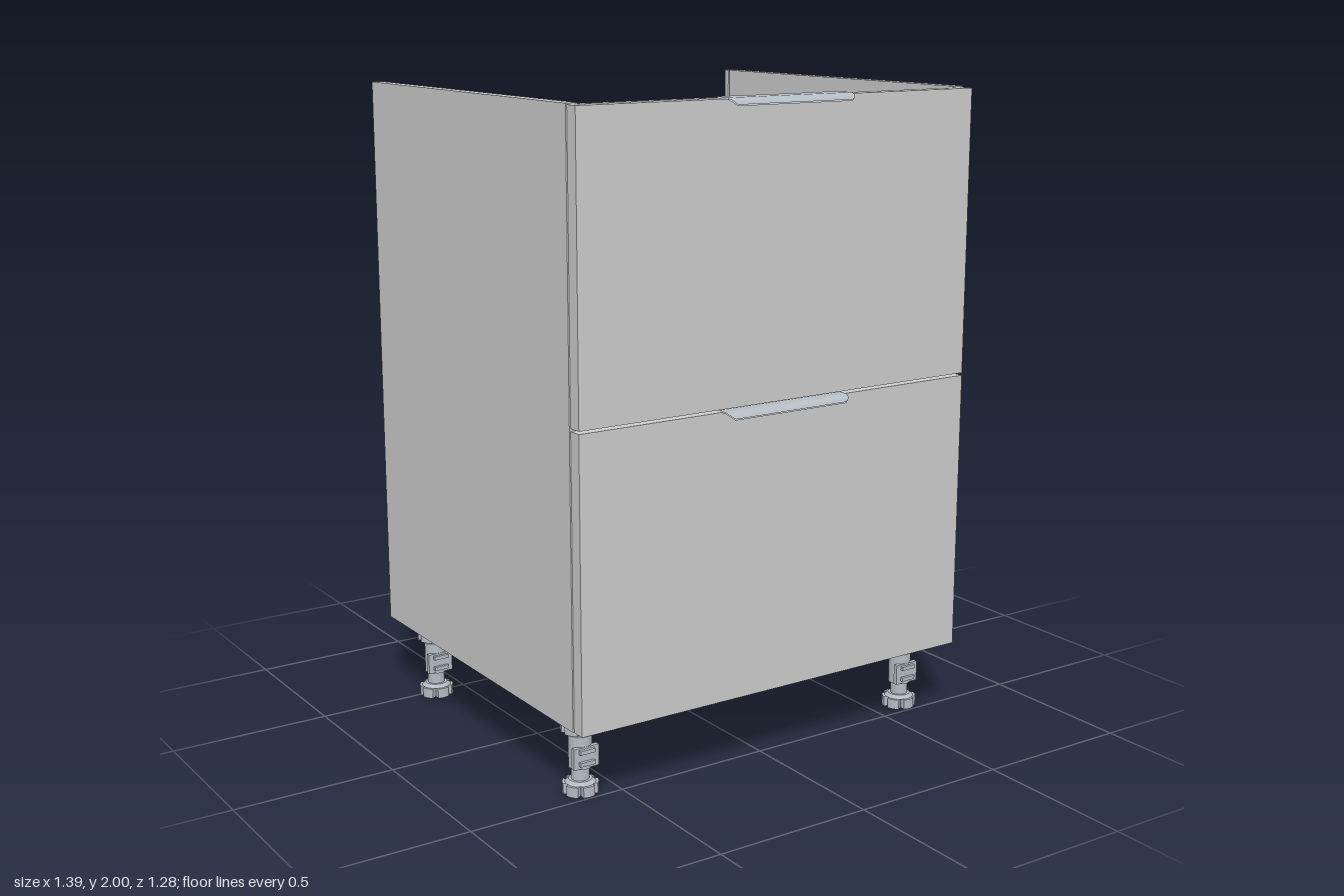
import * as THREE from 'three';

const grey = new THREE.MeshStandardMaterial({ color: 0xcccccc });
const metal = new THREE.MeshStandardMaterial({ color: 0xb4bcc4 });
const metalSheet = new THREE.MeshStandardMaterial({ color: 0xb4bcc4, side: THREE.DoubleSide });

function add(parent, name, geometry, material = grey) {
  const mesh = new THREE.Mesh(geometry, material);
  mesh.name = name;
  parent.add(mesh);
  return mesh;
}

// Box given by its limits on each axis
function box(parent, name, [x0, x1], [y0, y1], [z0, z1], material) {
  const mesh = add(parent, name, new THREE.BoxGeometry(x1 - x0, y1 - y0, z1 - z0), material);
  mesh.position.set((x0 + x1) / 2, (y0 + y1) / 2, (z0 + z1) / 2);
  return mesh;
}

// Plan outline of [x, z] points raised from y0 to y1
function raised(points, y0, y1) {
  const shape = new THREE.Shape(points.map(([x, z]) => new THREE.Vector2(x, -z)));
  const geometry = new THREE.ExtrudeGeometry(shape, { depth: y1 - y0, bevelEnabled: false });
  return geometry.rotateX(-Math.PI / 2).translate(0, y0, 0);
}

// Disc whose rim is cut by evenly spaced slots
function slottedDisc(radius, inner, slots, y0, y1) {
  const points = [];
  const step = (Math.PI * 2) / slots;
  const gap = 0.16;
  for (let i = 0; i < slots; i++) {
    const a = i * step;
    points.push([inner * Math.cos(a), inner * Math.sin(a)]);
    for (let j = 0; j <= 6; j++) {
      const t = a + gap + ((step - 2 * gap) * j) / 6;
      points.push([radius * Math.cos(t), radius * Math.sin(t)]);
    }
    points.push([inner * Math.cos(a + step - 0.01), inner * Math.sin(a + step - 0.01)]);
  }
  return raised(points, y0, y1);
}

// Open drawer box with a floor
function createDrawer(name, y0, y1) {
  const g = new THREE.Group();
  g.name = name;
  for (const s of [-1, 1]) {
    const xs = [s * 0.6, s * 0.635].sort((a, b) => a - b);
    box(g, 'drawerSide', xs, [y0, y1], [-0.515, 0.507]);
  }
  box(g, 'drawerBack', [-0.6, 0.6], [y0, y1], [-0.515, -0.48]);
  box(g, 'drawerFrontWall', [-0.6, 0.6], [y0, y1], [0.472, 0.507]);
  box(g, 'drawerFloor', [-0.6, 0.6], [y0, y0 + 0.03], [-0.48, 0.472]);
  return g;
}

// Thin edge pull that curls down over the front; rows are [z, y, half width]
function createHandle(y) {
  const rows = [
    [0.55, 0, 0.22], [0.607, 0, 0.22], [0.618, -0.002, 0.218],
    [0.627, -0.006, 0.215], [0.634, -0.011, 0.21], [0.638, -0.018, 0.2],
  ];
  const g = new THREE.Group();
  g.name = 'handle';
  for (const offset of [0, -0.004]) {
    const geometry = new THREE.PlaneGeometry(2, 1, 1, rows.length - 1);
    const p = geometry.attributes.position;
    for (let i = 0; i < p.count; i++) {
      const [z, h, w] = rows[Math.floor(i / 2)];
      p.setXYZ(i, p.getX(i) * w, h + offset, z + (z > 0.62 ? offset / 2 : 0));
    }
    geometry.computeVertexNormals();
    add(g, 'handleSheet', geometry, metalSheet);
  }
  // Fixing tabs behind the drawer front
  for (const x of [-0.17, 0.17]) {
    box(g, 'handleTab', [x - 0.02, x + 0.02], [-0.022, 0], [0.546, 0.55], metal);
  }
  g.position.y = y;
  return g;
}

// Adjustable foot with mounting flange, clip and slotted base
function createLeg(x, z) {
  const g = new THREE.Group();
  g.name = 'leg';
  const cylinder = (name, rTop, rBottom, y0, y1) => {
    const geometry = new THREE.CylinderGeometry(rTop, rBottom, y1 - y0, 24);
    add(g, name, geometry, metal).position.y = (y0 + y1) / 2;
  };
  add(g, 'legFlange', slottedDisc(0.057, 0.04, 6, 0.192, 0.24), metal);
  cylinder('flangeCollar', 0.045, 0.036, 0.178, 0.195);
  cylinder('legColumn', 0.035, 0.035, 0.08, 0.185);
  cylinder('legScrew', 0.027, 0.027, 0.035, 0.08);
  add(g, 'legFoot', slottedDisc(0.054, 0.035, 6, 0, 0.032), metal);
  cylinder('footCollar', 0.035, 0.046, 0.032, 0.042);
  // Plinth clip on the front of the column
  box(g, 'clipPlate', [-0.042, 0.042], [0.085, 0.15], [0.022, 0.036], metal);
  for (const y of [0.095, 0.132]) {
    box(g, 'clipRib', [-0.025, 0.025], [y, y + 0.012], [0.036, 0.046], metal);
  }
  g.position.set(x, 0, z);
  return g;
}

export function createModel() {
  const model = new THREE.Group();
  model.name = 'drawerCabinet';

  // Side panels, grooved near the back edge
  const outline = [
    [0.658, 0.55], [0.695, 0.55], [0.695, -0.634], [0.658, -0.634],
    [0.658, -0.614], [0.678, -0.614], [0.678, -0.606], [0.658, -0.606],
  ];
  for (const s of [-1, 1]) {
    const points = outline.map(([x, z]) => [x * s, z]);
    add(model, s > 0 ? 'leftSide' : 'rightSide', raised(points, 0.24, 2));
  }

  // Carcass
  box(model, 'bottomPanel', [-0.658, 0.658], [0.24, 0.277], [-0.595, 0.55]);
  box(model, 'rearTopRail', [-0.658, 0.658], [1.8, 1.905], [-0.634, -0.595]);
  box(model, 'rearBottomRail', [-0.658, 0.658], [0.245, 0.34], [-0.634, -0.595]);
  box(model, 'backPanel', [-0.692, 0.692], [0.243, 1.905], [-0.64, -0.634]);

  // Drawers with fronts and pulls
  const drawers = [
    ['lower', 0.24, 1.116, 0.82, 1.01],
    ['upper', 1.124, 1.996, 1.7, 1.89],
  ];
  for (const [name, y0, y1, d0, d1] of drawers) {
    box(model, name + 'DrawerFront', [-0.692, 0.692], [y0, y1], [0.552, 0.595]);
    model.add(createDrawer(name + 'Drawer', d0, d1));
    model.add(createHandle(y1 + 0.004));
  }

  for (const x of [-0.607, 0.607]) {
    for (const z of [0.44, -0.485]) model.add(createLeg(x, z));
  }
  return model;
}
